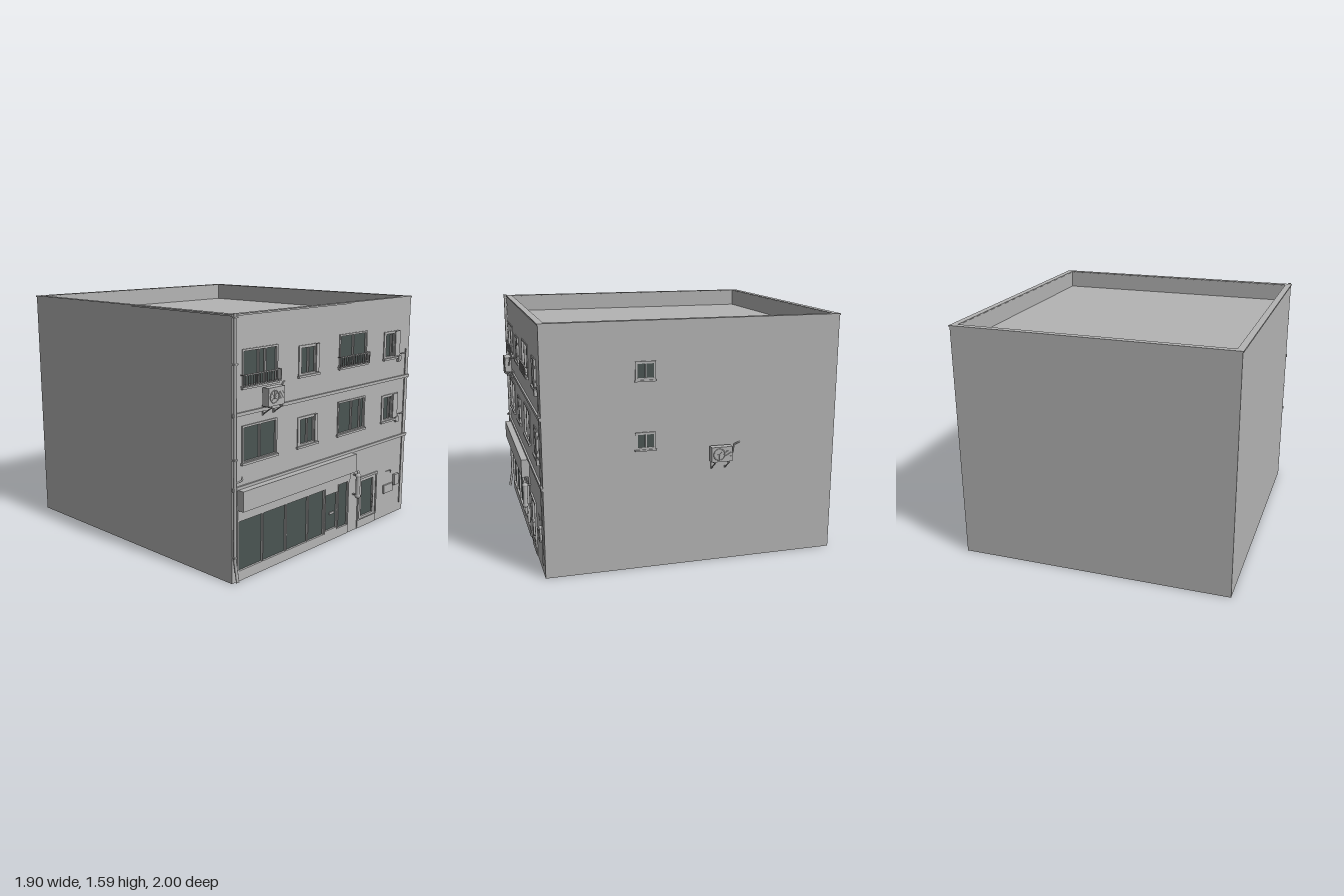
import * as THREE from 'three';

const mat = (name, color, side = THREE.FrontSide) => {
  const m = new THREE.MeshStandardMaterial({ color, side });
  m.name = name;
  return m;
};
const X0 = -0.95, X1 = 0.875, Z0 = -0.995, Z1 = 0.925, ROOF = 1.46, TOP = 1.58;

export function createModel() {
  const model = new THREE.Group();
  model.name = 'building';
  const plaster = mat('plaster', 0xb4b4b4);
  const glass = mat('glass', 0x4a5452);

  const add = (parent, name, geo, m = plaster) => {
    const mesh = new THREE.Mesh(geo, m);
    mesh.name = name;
    parent.add(mesh);
    return mesh;
  };
  // box given by its limits
  const box = (parent, name, x0, x1, y0, y1, z0, z1, m) => {
    const mesh = add(parent, name, new THREE.BoxGeometry(x1 - x0, y1 - y0, z1 - z0), m);
    mesh.position.set((x0 + x1) / 2, (y0 + y1) / 2, (z0 + z1) / 2);
    return mesh;
  };
  const tube = (parent, name, pts, r) => {
    const path = new THREE.CurvePath();
    const v = pts.map(p => new THREE.Vector3(...p));
    for (let i = 1; i < v.length; i++) path.add(new THREE.LineCurve3(v[i - 1], v[i]));
    return add(parent, name, new THREE.TubeGeometry(path, (v.length - 1) * 6, r, 8));
  };
  const group = (name, parent = model) => {
    const g = new THREE.Group();
    g.name = name;
    parent.add(g);
    return g;
  };
  const corners = ([a, b, c, d]) =>
    [[a, c], [b, c], [b, d], [a, d]].map(p => new THREE.Vector2(...p));
  // rectangular panel [x0, x1, y0, y1] with rectangular holes
  const panel = (parent, name, rect, holes, z0, z1) => {
    const s = new THREE.Shape(corners(rect));
    for (const h of holes) s.holes.push(new THREE.Path(corners(h).reverse()));
    const g = new THREE.ExtrudeGeometry(s, { depth: z1 - z0, bevelEnabled: false });
    g.translate(0, 0, z0);
    return add(parent, name, g);
  };
  // flat ring lying in the x-z plane
  const ring = (name, out, inset, y0, y1) => {
    const mesh = panel(model, name, [X0 - out, X1 + out, -Z1 - out, -Z0 + out],
      [[X0 + inset, X1 - inset, -Z1 + inset, -Z0 - inset]], y0, y1);
    mesh.rotation.x = -Math.PI / 2;
  };

  // local frames: z = 0 is the outer wall surface
  const front = group('frontFacade');
  front.position.z = Z1;
  const side = group('sideFacade');
  side.position.x = X1;
  side.rotation.y = Math.PI / 2;

  // window: frame with pane openings and a recessed glass sheet
  const windowUnit = (parent, name, r, panes, sill = true) => {
    const g = group(name, parent);
    panel(g, 'frame', r, panes, -0.02, 0.006);
    for (const [a, b, c, d] of panes)
      box(g, 'pane', a - 0.003, b + 0.003, c - 0.003, d + 0.003, -0.014, -0.008, glass);
    if (sill) box(g, 'sill', r[0] - 0.008, r[1] + 0.008, r[2] - 0.008, r[2] + 0.006, 0, 0.016);
    return g;
  };
  const holes = [];

  // upper storeys
  for (const [y, h, upper] of [[0.715, 0.225, false], [1.16, 0.22, true]]) {
    const lo = y + 0.012, hi = y + h - 0.012;
    for (const [x, cuts] of [
      [-0.87, upper ? [[0.012, 0.135], [0.142, 0.19], [0.202, 0.293]] : [[0.012, 0.148], [0.156, 0.293]]],
      [0.04, upper ? [[0.012, 0.148], [0.156, 0.293]] : [[0.012, 0.148], [0.156, 0.245], [0.252, 0.293]]],
    ]) {
      const r = [x, x + 0.305, y, y + h];
      holes.push(r);
      windowUnit(front, 'wideWindow', r, cuts.map(([a, b]) => [x + a, x + b, lo, hi]));
      if (upper) {
        // window guard rail
        const rail = group('guardRail', front), a = x - 0.012, b = x + 0.317;
        for (const yy of [1.165, 1.232]) box(rail, 'railBar', a, b, yy, yy + 0.007, 0.018, 0.026);
        for (let i = 0; i <= 16; i++) {
          const c = a + 0.003 + (b - a - 0.006) * i / 16;
          box(rail, 'baluster', c - 0.0025, c + 0.0025, 1.165, 1.235, 0.02, 0.025);
        }
        for (const c of [a, b - 0.006])
          for (const yy of [1.165, 1.232]) box(rail, 'railBracket', c, c + 0.006, yy, yy + 0.006, 0, 0.02);
      }
    }
    for (const x of [-0.37, 0.55]) {
      const r = [x, x + 0.193, y, y + 0.19];
      holes.push(r);
      const top = y + 0.173;
      const g = windowUnit(front, 'smallWindow', r,
        [[x + 0.025, x + 0.09, lo + 0.005, top], [x + 0.098, x + (x < 0 ? 0.157 : 0.125), lo + 0.005, top]]);
      box(g, 'shutter', x + (x < 0 ? 0.16 : 0.13), x + 0.188, y + 0.012, y + 0.188, 0.006, 0.014);
    }
  }

  // shop front with its own glazed door
  const shop = [-0.91, 0.19, 0.002, 0.385];
  holes.push(shop);
  const shopPanes = [[-0.895, -0.69], [-0.682, -0.472], [-0.462, -0.256], [-0.246, -0.085], [0.077, 0.178]]
    .map(([a, b]) => [a, b, 0.065, 0.372]);
  shopPanes.push([-0.067, 0.057, 0.08, 0.328]);
  const shopFront = windowUnit(front, 'shopFront', shop, shopPanes, false);
  box(shopFront, 'doorPlate', -0.012, 0.038, 0.18, 0.196, -0.008, -0.002);
  for (const x of [-0.078, 0.062]) box(shopFront, 'doorPost', x, x + 0.008, 0.065, 0.375, 0.006, 0.01);
  box(shopFront, 'header', -0.91, 0.2, 0.385, 0.446, 0, 0.01);
  box(shopFront, 'signBox', -0.912, 0.2, 0.446, 0.57, 0, 0.055);

  // entrance door
  const door = [0.297, 0.518, 0.002, 0.368];
  holes.push(door);
  const entrance = windowUnit(front, 'entranceDoor', door, [[0.338, 0.478, 0.08, 0.335]], false);
  panel(entrance, 'doorSurround', [0.297, 0.518, 0.06, 0.37], [[0.312, 0.505, 0.065, 0.355]], 0.006, 0.012);
  tube(entrance, 'doorHandle', [[0.458, 0.12, 0.006], [0.458, 0.12, 0.018], [0.458, 0.215, 0.018], [0.458, 0.215, 0.006]], 0.003);

  // rooms behind the two ground floor openings
  box(model, 'shopRoom', -0.91, 0.19, 0.002, 0.4, 0.395, 0.905);
  box(model, 'entranceRoom', 0.297, 0.518, 0.002, 0.38, 0.565, 0.905);

  // shell, open at the bottom
  panel(front, 'frontWall', [X0, X1, 0, TOP - 0.01], holes, -0.02, 0);
  box(model, 'backWall', X0, X1, 0, TOP - 0.01, Z0, Z0 + 0.01);
  box(model, 'leftWall', X1 - 0.01, X1, 0, TOP - 0.01, Z0, Z1 - 0.02);
  box(model, 'rightWall', X0, X0 + 0.01, 0, TOP - 0.01, Z0, Z1 - 0.02);
  box(model, 'roof', X0 + 0.005, X1 - 0.005, ROOF - 0.01, ROOF, Z0 + 0.005, Z1 - 0.01);
  ring('parapet', -0.002, 0.04, ROOF, TOP - 0.005);
  ring('coping', 0.005, 0.038, TOP - 0.01, TOP);
  for (const y of [0.567, 1.002]) box(front, 'floorBand', X0 - 0.005, X1 + 0.003, y, y + 0.02, 0, 0.012);

  // small side windows
  for (const [y0, y1] of [[0.78, 0.893], [1.216, 1.334]]) {
    const g = group('sideWindow', side);
    const panes = [[-0.335, -0.288, y0 + 0.017, y1 - 0.014], [-0.279, -0.233, y0 + 0.017, y1 - 0.014]];
    panel(g, 'frame', [-0.35, -0.22, y0, y1], panes, 0, 0.008);
    for (const [a, b, c, d] of panes) box(g, 'pane', a, b, c, d, 0, 0.003, glass);
    box(g, 'sill', -0.354, -0.216, y0 - 0.006, y0 + 0.004, 0, 0.014);
  }

  // outdoor cooling units on wall brackets
  const coolingUnit = (parent, x, y, w, h) => {
    const g = group('coolingUnit', parent);
    g.position.set(x, y, 0);
    box(g, 'casing', 0, w, 0, h, 0.018, 0.066);
    const fan = add(g, 'fanRim', new THREE.TorusGeometry(0.037, 0.003, 6, 28));
    fan.position.set(w * 0.36, h * 0.5, 0.067);
    for (let i = 0; i < 4; i++) {
      const blade = add(g, 'fanGuard', new THREE.BoxGeometry(0.074, 0.002, 0.003));
      blade.position.copy(fan.position);
      blade.rotation.z = i * Math.PI / 4;
    }
    for (let i = 0; i < 7; i++) {
      const yy = h * (0.34 + i * 0.06);
      box(g, 'grille', w * 0.68, w * 0.95, yy, yy + 0.003, 0.066, 0.069);
    }
    for (const xx of [w * 0.15, w * 0.82]) {
      box(g, 'bracketArm', xx - 0.004, xx + 0.004, -0.008, 0, 0, 0.075);
      box(g, 'bracketPost', xx - 0.004, xx + 0.004, -0.06, 0, 0, 0.006);
      tube(g, 'bracketBrace', [[xx, -0.055, 0.003], [xx, -0.006, 0.07]], 0.004);
    }
    tube(g, 'coolantPipe', [[w, h * 0.5, 0.04], [w + 0.015, h * 0.55, 0.038], [w + 0.02, h + 0.002, 0.03], [w + 0.05, h + 0.006, 0.012], [w + 0.073, h + 0.006, 0]], 0.005);
  };
  coolingUnit(front, -0.715, 1.035, 0.142, 0.11);
  coolingUnit(side, 0.126, 0.682, 0.137, 0.096);

  // downpipe and wall tap at the corner
  tube(front, 'downpipe', [[-0.937, 1.588, 0.012], [-0.937, 0.06, 0.012], [-0.937, 0.015, 0.035]], 0.01);
  for (const y of [0.16, 0.75, 1.3, 1.56]) box(front, 'pipeClip', -0.95, -0.924, y, y + 0.008, 0, 0.024);
  tube(front, 'tap', [[-0.93, 0.62, 0.02], [-0.9, 0.632, 0.035], [-0.89, 0.645, 0.02]], 0.006);

  // conduit with two junction boxes
  tube(front, 'conduit', [[0.826, 0.065, 0.006], [0.826, 1.21, 0.006]], 0.004);
  for (const y of [0.745, 1.182]) {
    tube(front, 'conduitBranch', [[0.826, y, 0.006], [0.738, y, 0.006], [0.738, y - 0.02, 0.006]], 0.004);
    box(front, 'junctionBox', 0.722, 0.754, y - 0.052, y - 0.012, 0, 0.018);
  }

  // round wall lamp
  const lamp = group('wallLamp', front);
  const profile = [[0, 0.245], [0.014, 0.248], [0.02, 0.258], [0.02, 0.268], [0.016, 0.272], [0.016, 0.395],
    [0.02, 0.4], [0.02, 0.41], [0.012, 0.418], [0.006, 0.422], [0.011, 0.43], [0.008, 0.438], [0, 0.441]];
  const body = add(lamp, 'lampBody', new THREE.LatheGeometry(profile.map(p => new THREE.Vector2(...p)), 20));
  body.position.set(0.244, 0, 0.04);
  for (const y of [0.262, 0.402]) box(lamp, 'lampArm', 0.238, 0.25, y, y + 0.008, 0, 0.03);

  // letter boxes and bent pipe beside the entrance
  box(front, 'letterBox', 0.613, 0.725, 0.18, 0.24, 0, 0.012);
  box(front, 'meterBox', 0.737, 0.795, 0.217, 0.297, 0, 0.018);
  tube(front, 'bentPipe', [[0.635, 0.34, 0.004], [0.702, 0.34, 0.004], [0.702, 0.318, 0.004]], 0.003);

  return model;
}
